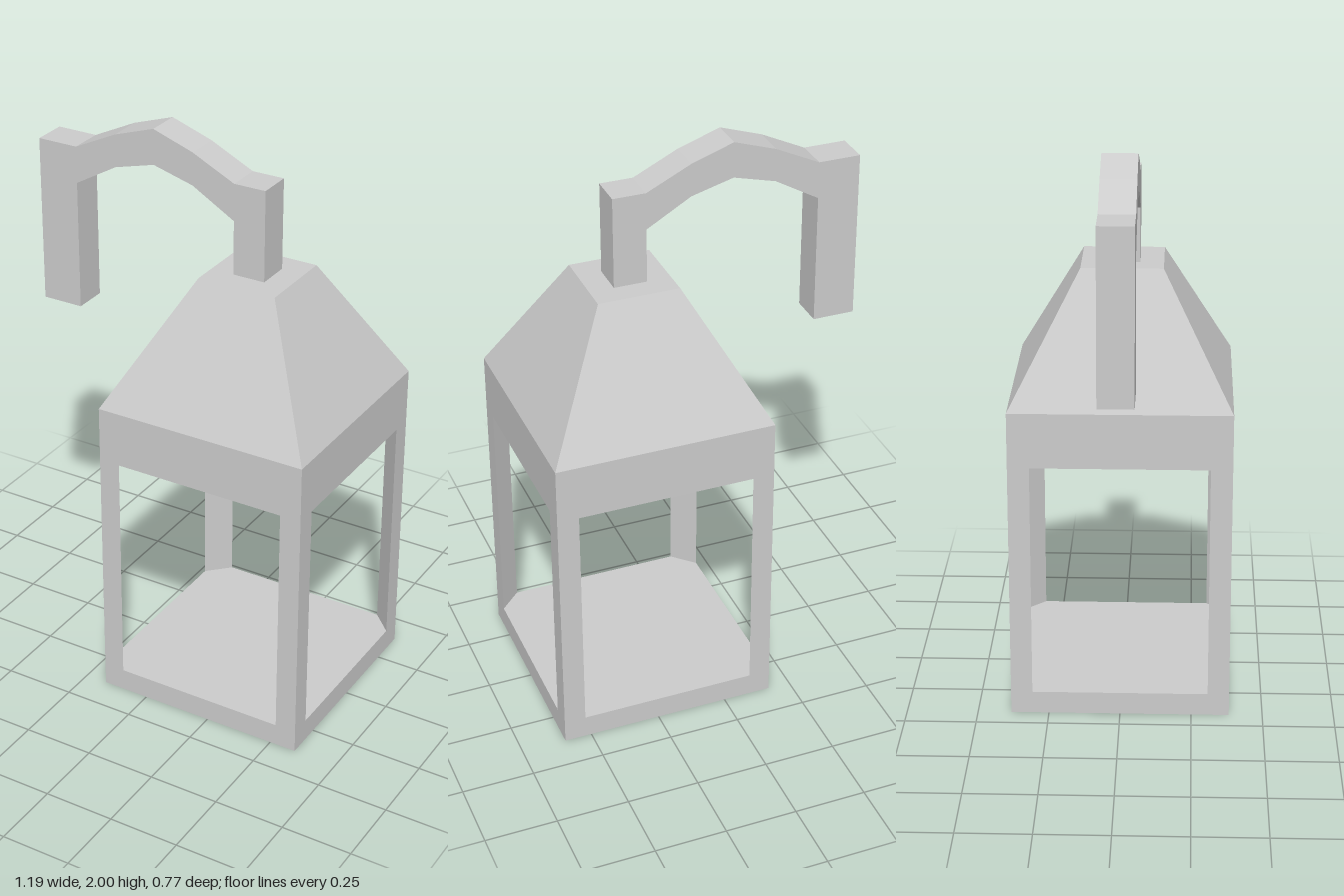
import * as THREE from 'three';

const CENTER_X = 0.2125; // lantern axis
const HALF = 0.3825;     // half width of the body
const POST = 0.075;      // leg length of the triangular corner posts

const material = new THREE.MeshStandardMaterial({ color: 0xcccccc, flatShading: true });

function addMesh(parent, name, geometry) {
  const mesh = new THREE.Mesh(geometry, material);
  mesh.name = name;
  parent.add(mesh);
  return mesh;
}

// Square slab or tapered block between two heights
function squareBlock(y0, y1, bottomHalf, topHalf) {
  const g = new THREE.CylinderGeometry(topHalf * Math.SQRT2, bottomHalf * Math.SQRT2, y1 - y0, 4);
  g.rotateY(Math.PI / 4);
  g.translate(0, (y0 + y1) / 2, 0);
  return g;
}

function extrude(points, depth) {
  const shape = new THREE.Shape(points.map(([x, y]) => new THREE.Vector2(x, y)));
  return new THREE.ExtrudeGeometry(shape, { depth, bevelEnabled: false });
}

export function createModel() {
  const model = new THREE.Group();
  model.name = 'lantern';

  const body = new THREE.Group();
  body.name = 'body';
  body.position.x = CENTER_X;
  model.add(body);

  addMesh(body, 'base', squareBlock(0, 0.08, HALF, HALF));
  addMesh(body, 'header', squareBlock(0.92, 1.115, HALF, HALF));
  addMesh(body, 'roof', squareBlock(1.115, 1.555, HALF, 0.1415));

  // Triangular corner posts, their long face turned inwards
  const post = extrude([[HALF, HALF], [HALF - POST, HALF], [HALF, HALF - POST]], 0.84);
  post.rotateX(-Math.PI / 2);
  post.translate(0, 0.08, 0);
  for (let i = 0; i < 4; i++) {
    addMesh(body, 'cornerPost', post).rotation.y = i * Math.PI / 2;
  }

  // Hook: stem, faceted arch and hanging end in one outline
  const hook = extrude([
    [0.155, 1.555], [0.27, 1.555], [0.27, 1.875], [0.155, 1.875],
    [0.0, 1.95], [-0.147, 2.0], [-0.295, 1.95], [-0.45, 1.875],
    [-0.597, 1.875], [-0.597, 1.285], [-0.45, 1.285], [-0.45, 1.745],
    [-0.295, 1.835], [-0.147, 1.875], [0.0, 1.835], [0.155, 1.745],
  ], 0.12);
  hook.translate(0, 0, -0.06);
  addMesh(model, 'hook', hook);

  return model;
}
